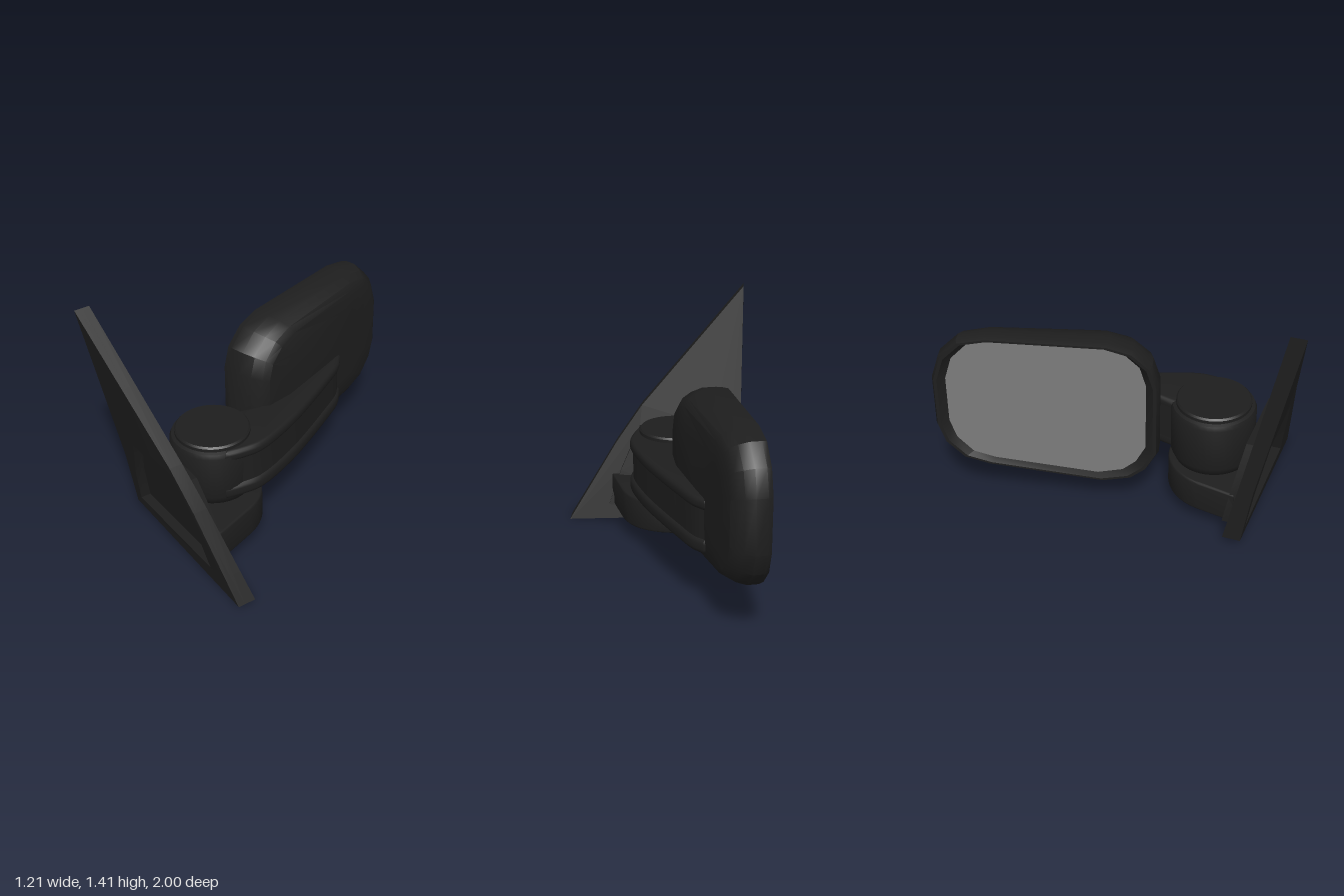
import * as THREE from 'three';
import { toCreasedNormals } from 'three/addons/utils/BufferGeometryUtils.js';

const bodyMat = new THREE.MeshStandardMaterial({ color: 0x1e1e1e });
const glassMat = new THREE.MeshStandardMaterial({ color: 0x7c7c7c });

const vecs = (pts, flip = 1) => pts.map(([a, b]) => new THREE.Vector2(a, b * flip));

function addMesh(parent, name, geometry, material = bodyMat, crease = 0.6) {
  const mesh = new THREE.Mesh(toCreasedNormals(geometry, crease), material);
  mesh.name = name;
  parent.add(mesh);
  return mesh;
}

function extrude(shape, depth, bevel) {
  return new THREE.ExtrudeGeometry(shape, {
    depth: depth - 2 * bevel, bevelEnabled: bevel > 0, bevelThickness: bevel,
    bevelSize: bevel, bevelOffset: -bevel, bevelSegments: 3, curveSegments: 16,
  }).translate(0, 0, bevel);
}

// Slab leaning forward with height by slope and curve, back face at z0 when y = 0
function leaning(shape, z0, depth, bevel, slope, curve = 0) {
  const g = extrude(shape, depth, bevel).translate(0, 0, z0);
  const p = g.attributes.position;
  for (let i = 0; i < p.count; i++) {
    const y = p.getY(i);
    p.setZ(i, p.getZ(i) + slope * y + curve * y * y);
  }
  g.computeVertexNormals();
  return g;
}

// Slab from a plan outline in x and z, standing between two heights
function planSlab(shape, y0, y1, bevel) {
  return extrude(shape, y1 - y0, bevel).rotateX(-Math.PI / 2).translate(0, y0, 0);
}

// Mirror head frame: u runs along its length, w towards its back
const headPoint = (u, y, w) => [-0.455 - 0.258 * u + 0.966 * w, y, -0.4 - 0.966 * u - 0.258 * w];
const headOutline = [
  [-0.622, 0.4], [-0.622, 0.84], [-0.585, 0.96], [-0.487, 1.05], [-0.352, 1.09],
  [0.3, 1.1], [0.45, 1.07], [0.553, 0.97], [0.598, 0.83], [0.598, 0.53],
  [0.558, 0.41], [0.46, 0.31], [0.32, 0.27], [-0.32, 0.195], [-0.476, 0.225], [-0.56, 0.29],
];
const headMidY = 0.65;

// The head is thicker at its near end than at its far end
function headRing([w, su, sy]) {
  return headOutline.map(([u, y]) =>
    headPoint(u * su, headMidY + (y - headMidY) * sy, w * (1 - 0.25 * u)));
}

function buildGeometry(positions, index) {
  const g = new THREE.BufferGeometry();
  g.setAttribute('position', new THREE.Float32BufferAttribute(positions.flat(), 3));
  g.setIndex(index);
  g.computeVertexNormals();
  return g;
}

function housingGeometry() {
  // depth, length scale, height scale: inner lip, rim, side wall, domed back
  const rings = [
    [0.04, 0.88, 0.93], [0, 0.95, 0.96], [0, 0.98, 0.985], [0.03, 1, 1], [0.1, 1, 1],
    [0.16, 0.965, 0.96], [0.207, 0.91, 0.9], [0.23, 0.86, 0.82], [0.243, 0.6, 0.57],
  ];
  const n = headOutline.length;
  const positions = rings.flatMap(headRing);
  const index = [];
  for (let r = 0; r < rings.length - 1; r++) {
    for (let i = 0; i < n; i++) {
      const j = (i + 1) % n, a = r * n, b = a + n;
      index.push(a + i, b + j, a + j, a + i, b + i, b + j);
    }
  }
  const last = (rings.length - 1) * n, centre = positions.length;
  positions.push(headPoint(0, headMidY, 0.249));
  for (let i = 0; i < n; i++) index.push(centre, last + (i + 1) % n, last + i);
  return buildGeometry(positions, index);
}

function glassGeometry() {
  const positions = headRing([0.038, 0.89, 0.94]);
  const n = positions.length, index = [];
  positions.push(headPoint(0, headMidY, 0.038));
  for (let i = 0; i < n; i++) index.push(n, i, (i + 1) % n);
  return buildGeometry(positions, index);
}

// Curved arm outline in plan, pulled in by an inset on its outer side
function armShape(inset, end) {
  const outer = [[0.175, 0.5], [0.195, 0.4], [0.2, 0.28], [0.11, 0.02], [0, -0.2], [-0.1, -0.38], [-0.19, -0.53], [-0.26, end]];
  const curve = new THREE.CatmullRomCurve3(outer.map(([x, z]) => new THREE.Vector3(x - inset, 0, z)));
  const pts = curve.getPoints(28).map((p) => [p.x, p.z]);
  pts.push([-0.32, end + 0.03], [-0.17, 0.03], [-0.1, 0.1], [-0.13, 0.22], [-0.15, 0.43]);
  return new THREE.Shape(vecs(pts, -1));
}

export function createModel() {
  const model = new THREE.Group();
  model.name = 'wingMirror';

  // Triangular mounting plate in two layers, both open over the hollow pad
  const plateOutline = [[-0.43, 0.05], [0.605, 0], [0.32, 0.48], [0.17, 0.7], [-0.43, 1.41], [-0.43, 0.4]];
  const recess = [[-0.37, 0.11], [0.36, 0.11], [0.29, 0.32], [0.18, 0.58], [-0.26, 0.58], [-0.35, 0.32]];
  const plateShape = new THREE.Shape(vecs(plateOutline));
  plateShape.holes.push(new THREE.Path(vecs([...recess].reverse())));
  const plate = new THREE.Group();
  plate.name = 'mountingPlate';
  model.add(plate);
  addMesh(plate, 'plateBack', leaning(plateShape, 0.608, 0.065, 0, 0.217));
  addMesh(plate, 'plateFront', leaning(plateShape, 0.666, 0.046, 0, 0.15, 0.0385));

  // Pedestal: raised pad closing the recess and a rounded shelf
  addMesh(model, 'pedestalPad', leaning(new THREE.Shape(vecs(recess)), 0.575, 0.075, 0, 0.185));
  const shelf = new THREE.Shape();
  shelf.moveTo(-0.36, -0.655);
  shelf.lineTo(0.345, -0.655);
  shelf.lineTo(0.335, -0.62);
  shelf.lineTo(0.255, -0.39);
  shelf.bezierCurveTo(0.2, -0.25, 0.09, -0.19, -0.05, -0.19);
  shelf.bezierCurveTo(-0.17, -0.19, -0.3, -0.29, -0.325, -0.44);
  addMesh(model, 'pedestalShelf', planSlab(shelf, 0.107, 0.293, 0.012));

  // Pivot hub with a raised cap
  const hubProfile = [
    [0, 0.28], [0.17, 0.28], [0.21, 0.31], [0.232, 0.36], [0.235, 0.62], [0.225, 0.645],
    [0.207, 0.652], [0.207, 0.67], [0.198, 0.68], [0, 0.68],
  ];
  addMesh(model, 'pivotHub', new THREE.LatheGeometry(vecs(hubProfile), 40).translate(-0.05, 0, 0.435));

  // Arm: recessed web between two rounded ribs
  const arm = new THREE.Group();
  arm.name = 'arm';
  model.add(arm);
  addMesh(arm, 'armWeb', planSlab(armShape(0.018, -0.59), 0.4, 0.61, 0));
  addMesh(arm, 'upperRib', planSlab(armShape(0, -0.595), 0.585, 0.652, 0.024));
  addMesh(arm, 'lowerRib', planSlab(armShape(0, -0.595), 0.338, 0.425, 0.028));

  // Mirror head
  addMesh(model, 'mirrorHousing', housingGeometry(), bodyMat, 0.5);
  addMesh(model, 'mirrorGlass', glassGeometry(), glassMat);

  return model;
}
